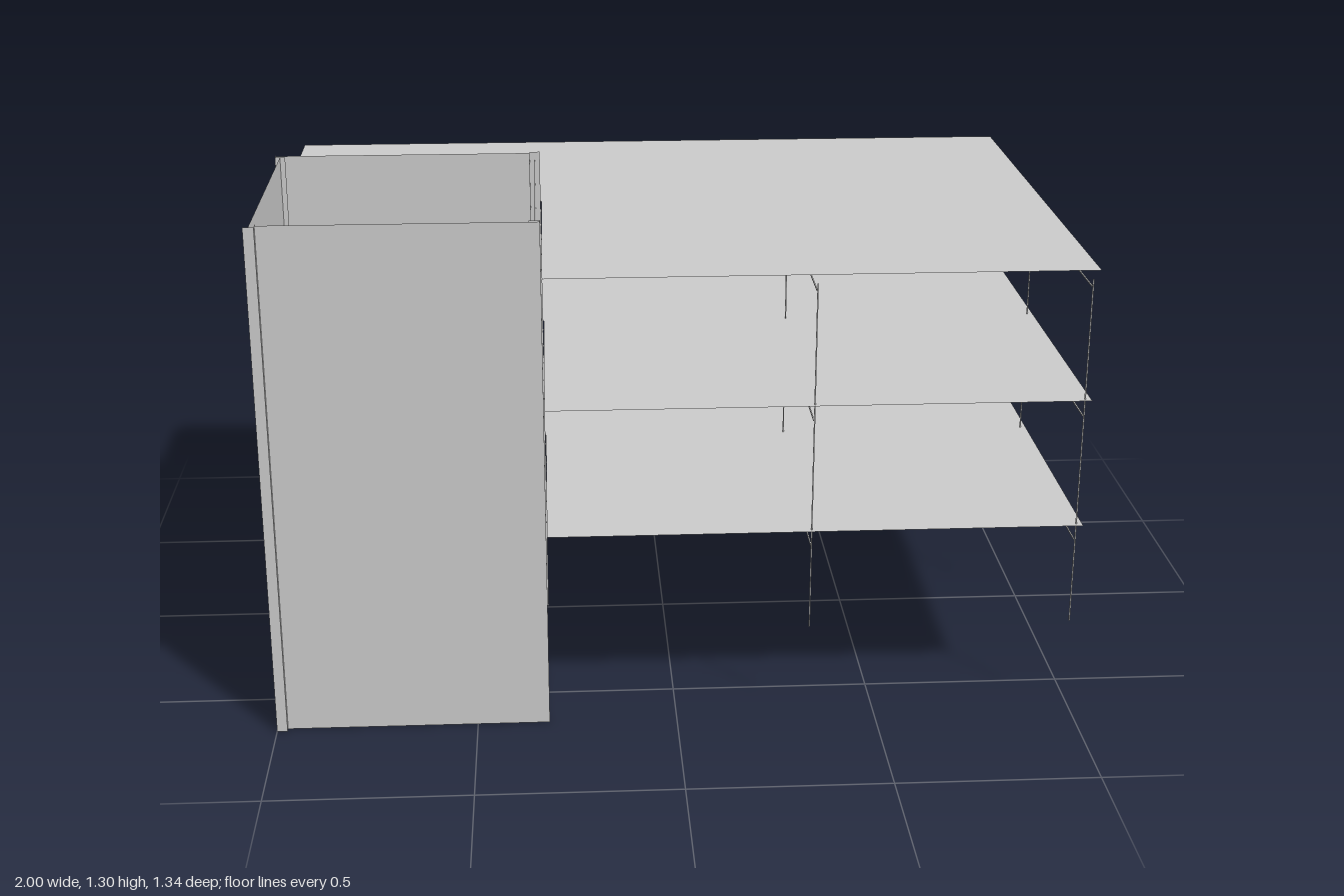
import * as THREE from 'three';

const material = new THREE.MeshStandardMaterial({ color: 0xcccccc, side: THREE.DoubleSide, flatShading: true });
const THIN = 0.003;

function add(parent, name, geometry, x = 0, y = 0, z = 0) {
  const mesh = new THREE.Mesh(geometry, material);
  mesh.name = name;
  mesh.position.set(x, y, z);
  parent.add(mesh);
  return mesh;
}

// Slender member running along one axis between two values
function member(parent, name, axis, from, to, x, y, z) {
  const size = { x: THIN, y: THIN, z: THIN };
  const pos = { x, y, z };
  size[axis] = to - from;
  pos[axis] = (from + to) / 2;
  add(parent, name, new THREE.BoxGeometry(size.x, size.y, size.z), pos.x, pos.y, pos.z);
}

// Open shaft: four thin walls arranged as a pinwheel, each closed by end strips
function createShaft() {
  const shaft = new THREE.Group();
  shaft.name = 'stairShaft';
  const height = 1.305, width = 0.68, thick = 0.026;
  const length = width - thick;
  for (let i = 0; i < 4; i++) {
    const wall = new THREE.Group();
    wall.name = 'shaftWall' + (i + 1);
    wall.rotation.y = (i * Math.PI) / 2;
    const z = (width - thick) / 2;
    add(wall, 'wallPanel', new THREE.PlaneGeometry(length, height), thick / 2, 0, z);
    for (const x of [width / 2, width / 2 - length]) {
      add(wall, 'wallEnd', new THREE.PlaneGeometry(thick, height), x, 0, z).rotation.y = Math.PI / 2;
    }
    shaft.add(wall);
  }
  shaft.position.set(-0.66, height / 2, 0.33);
  return shaft;
}

// L-shaped floor plate with joists and cross beams beneath it
function createFloor(y) {
  const floor = new THREE.Group();
  floor.name = 'floor';
  const outline = [[-0.318, -0.67], [1, -0.67], [1, 0.67], [-1, 0.67], [-1, 0.013], [-0.318, 0.013]];
  const shape = new THREE.Shape(outline.map(([x, v]) => new THREE.Vector2(x, v)));
  add(floor, 'floorPlate', new THREE.ShapeGeometry(shape).rotateX(-Math.PI / 2));

  for (let i = -4; i <= 4; i++) {
    const z = i * 0.132;
    member(floor, 'joist', 'x', i >= 0 ? -0.32 : -0.985, 0.985, 0, -0.021, z);
  }
  for (const x of [-0.985, -0.33, 0.33, 0.985]) {
    member(floor, 'beam', 'z', -0.645, x < 0 ? -0.01 : 0.645, x, -0.046, 0);
  }
  floor.position.y = y;
  return floor;
}

export function createModel() {
  const model = new THREE.Group();
  model.name = 'building';
  model.add(createShaft());
  for (const y of [0.513, 0.841, 1.17]) model.add(createFloor(y));

  // Slender columns on a regular grid, leaving out the shaft corner
  for (const x of [-0.985, -0.33, 0.33, 0.985]) {
    for (const z of [-0.658, 0, 0.658]) {
      if (x < 0 && z >= 0) continue;
      member(model, 'column', 'y', 0.25, 1.145, x, 0, z);
    }
  }
  return model;
}
